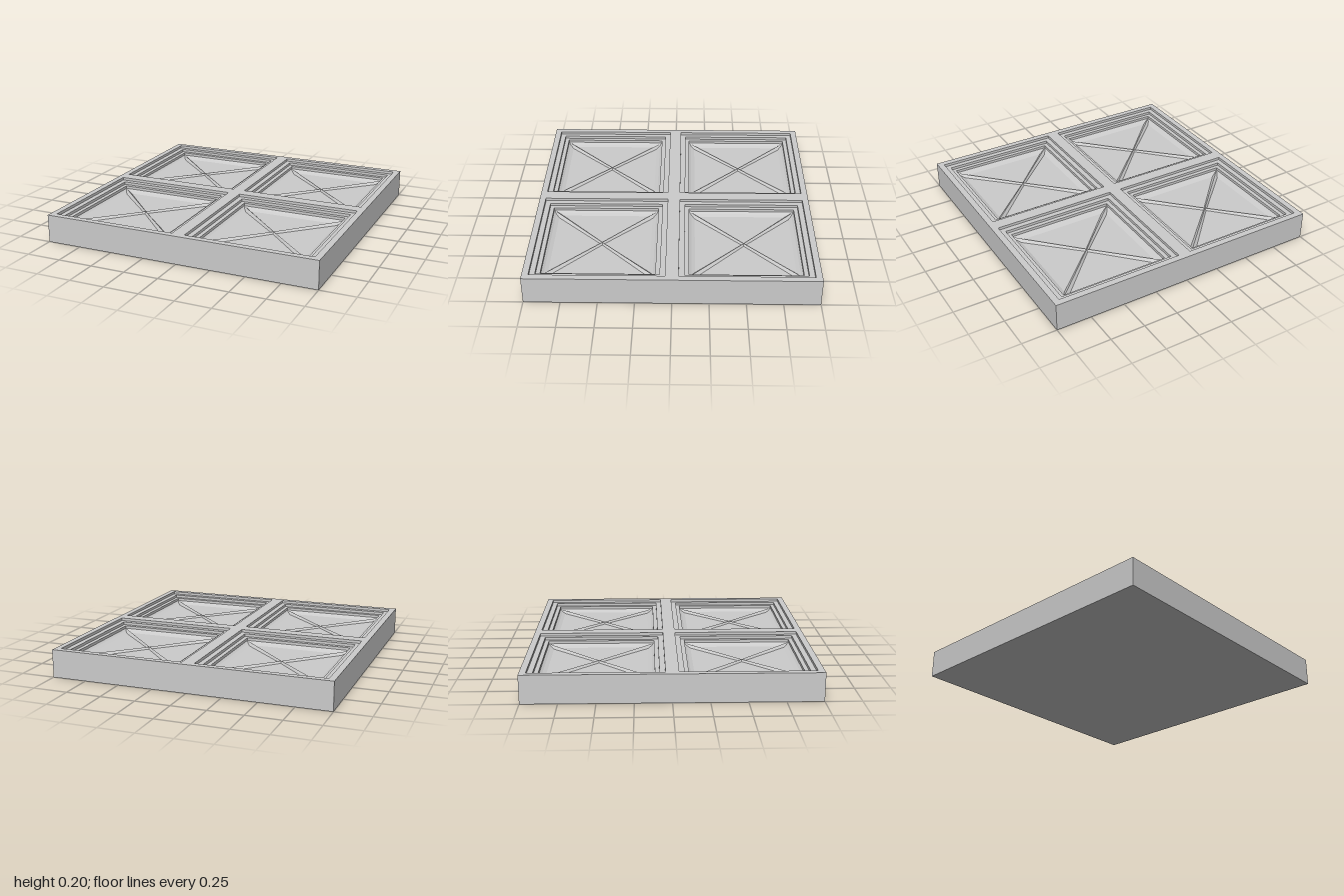
import * as THREE from 'three';

const HEIGHT = 0.2;
const PANEL = 0.455; // half width of each recessed panel
const FLOOR = 0.12;

const material = new THREE.MeshStandardMaterial({ color: 0xcccccc, flatShading: true });

// Square "turned" surface: profile of [half width, height]
function squareLathe(profile) {
  const points = profile.map(([half, y]) => new THREE.Vector2(half * Math.SQRT2, y));
  const geometry = new THREE.LatheGeometry(points, 4, Math.PI / 4).toNonIndexed();
  geometry.computeVertexNormals();
  return geometry;
}

function squarePath(path, cx, cy, half) {
  path.moveTo(cx - half, cy - half);
  path.lineTo(cx + half, cy - half);
  path.lineTo(cx + half, cy + half);
  path.lineTo(cx - half, cy + half);
  path.closePath();
  return path;
}

// Half rib running from the panel centre out to a corner, with a pointed end
function ribGeometry() {
  const stations = [
    { d: 0, half: 0.01, base: FLOOR, ridge: FLOOR + 0.014 },
    { d: 0.345, half: 0.02, base: FLOOR, ridge: FLOOR + 0.018 },
    { d: 0.386, half: 0, base: 0.141, ridge: 0.141 },
  ];
  const geometry = new THREE.PlaneGeometry(2, 2, 2, 2).rotateX(-Math.PI / 2);
  const p = geometry.attributes.position;
  for (let i = 0; i < p.count; i++) {
    const s = stations[Math.round(p.getZ(i)) + 1];
    const side = Math.round(p.getX(i));
    p.setXYZ(i, side * s.half, side === 0 ? s.ridge : s.base, s.d * Math.SQRT2);
  }
  const flat = geometry.toNonIndexed();
  flat.computeVertexNormals();
  return flat;
}

export function createModel() {
  const model = new THREE.Group();
  model.name = 'cofferedTile';
  const centres = [-0.5, 0.5].flatMap((x) => [-0.5, 0.5].map((z) => [x, z]));

  function add(parent, name, geometry) {
    const mesh = new THREE.Mesh(geometry, material);
    mesh.name = name;
    parent.add(mesh);
    return mesh;
  }

  // Underside and outer walls
  add(model, 'slabSides', squareLathe([[0, 0], [1, 0], [1, HEIGHT]]));

  // Top frame with four openings
  const frame = squarePath(new THREE.Shape(), 0, 0, 1);
  for (const [x, z] of centres) frame.holes.push(squarePath(new THREE.Path(), x, z, PANEL));
  add(model, 'topFrame', new THREE.ShapeGeometry(frame).rotateX(-Math.PI / 2)).position.y = HEIGHT;

  // Stepped recess ending in a shallow cove and a flat floor
  const recess = squareLathe([
    [PANEL, HEIGHT], [PANEL, 0.18],
    [0.417, 0.18], [0.417, 0.16],
    [0.387, 0.16], [0.387, 0.14],
    [0.37, 0.129], [0.345, FLOOR], [0, FLOOR],
  ]);
  const rib = ribGeometry();
  for (const [x, z] of centres) {
    const panel = new THREE.Group();
    panel.name = 'panel';
    panel.position.set(x, 0, z);
    add(panel, 'steppedRecess', recess);
    for (let k = 0; k < 4; k++) {
      add(panel, 'diagonalRib', rib).rotation.y = Math.PI / 4 + (k * Math.PI) / 2;
    }
    model.add(panel);
  }
  return model;
}
